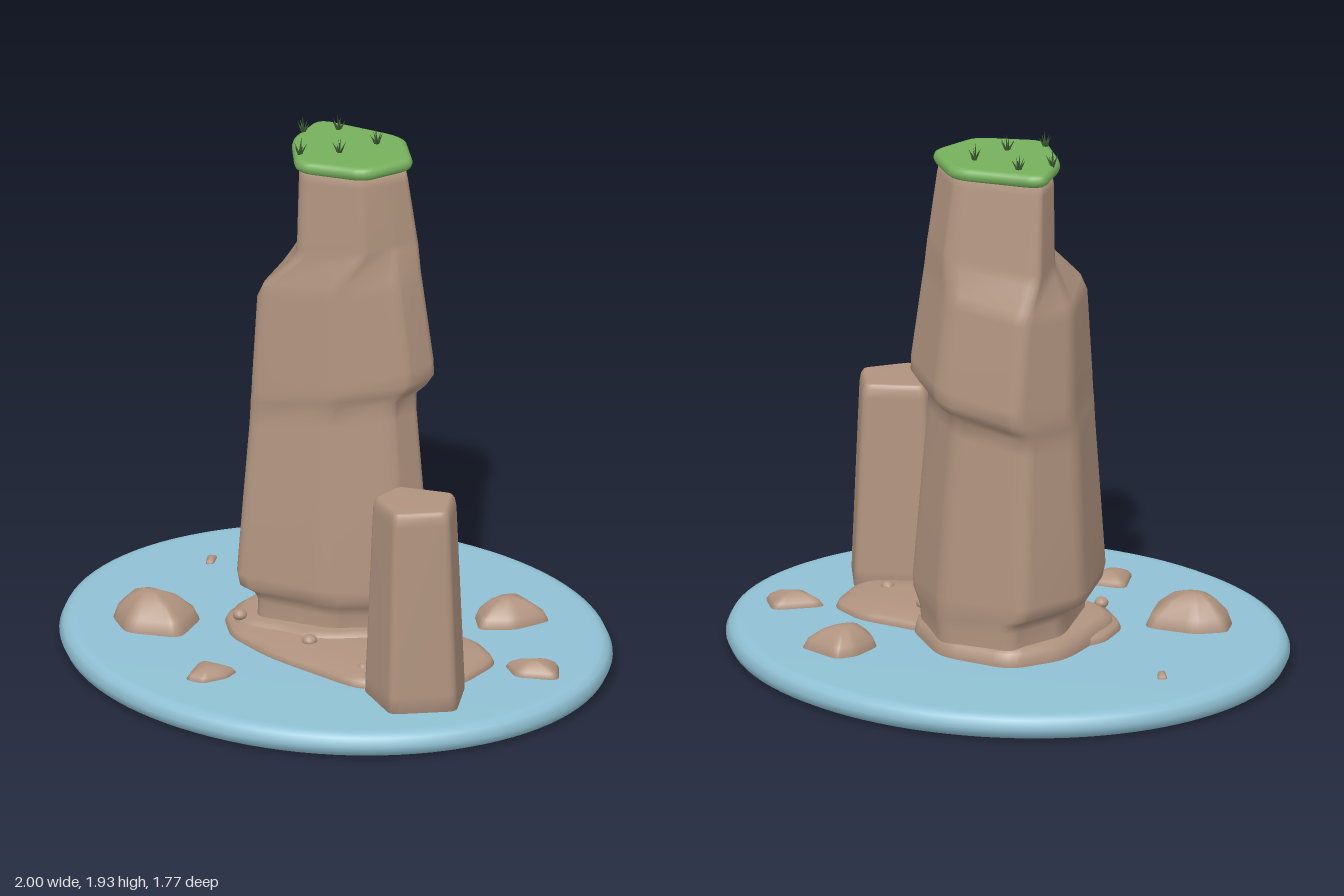
import * as THREE from 'three';
import { mergeGeometries } from 'three/addons/utils/BufferGeometryUtils.js';

const flat = (name, color) => {
  const m = new THREE.MeshStandardMaterial({ color });
  m.name = name;
  return m;
};

// Replace every corner of an outline by a short curve
function roundOutline(points, cut = 0.2, steps = 4) {
  const out = [];
  points.forEach(([x, z], i) => {
    const p = points[(i + points.length - 1) % points.length];
    const n = points[(i + 1) % points.length];
    for (let k = 0; k <= steps; k++) {
      const t = k / steps, a = (1 - t) * (1 - t) * cut, b = t * t * cut;
      out.push([x + (p[0] - x) * a + (n[0] - x) * b, z + (p[1] - z) * a + (n[1] - z) * b]);
    }
  });
  return out;
}

// Skin a stack of rings (bottom to top) and close both ends
function loft(rings) {
  const n = rings[0].length, pos = [], index = [];
  rings.forEach(r => r.forEach(p => pos.push(...p)));
  for (let i = 0; i < rings.length - 1; i++) {
    for (let j = 0; j < n; j++) {
      const a = i * n + j, b = i * n + (j + 1) % n;
      index.push(a, a + n, b, b, a + n, b + n);
    }
  }
  [0, rings.length - 1].forEach((ri, end) => {
    const c = pos.length / 3;
    for (let k = 0; k < 3; k++) pos.push(rings[ri].reduce((s, p) => s + p[k], 0) / n);
    for (let j = 0; j < n; j++) {
      const a = ri * n + j, b = ri * n + (j + 1) % n;
      if (end) index.push(c, b, a);
      else index.push(c, a, b);
    }
  });
  const g = new THREE.BufferGeometry();
  g.setAttribute('position', new THREE.Float32BufferAttribute(pos, 3));
  g.setIndex(index);
  g.computeVertexNormals();
  return g;
}

// Outline repeated at [height, scale] levels about its centre
function stack(outline, levels, cut) {
  const pts = roundOutline(outline, cut);
  const cx = pts.reduce((s, p) => s + p[0], 0) / pts.length;
  const cz = pts.reduce((s, p) => s + p[1], 0) / pts.length;
  return loft(levels.map(([y, s]) => pts.map(([x, z]) => [cx + (x - cx) * s, y, cz + (z - cz) * s])));
}

export function createModel() {
  const group = new THREE.Group();
  const rock = flat('rock', 0xb0937f);
  const water = flat('water', 0x90c1d4);
  const grass = flat('grass', 0x76b05c);
  const blade = flat('grassBlade', 0x39592f);
  const add = (name, geometry, material) => {
    const m = new THREE.Mesh(geometry, material);
    m.name = name;
    group.add(m);
    return m;
  };

  // Oval water slab with a rounded rim
  const rim = [[0, 0], [0.93, 0], [0.96, 0.002], [0.985, 0.014], [1, 0.045],
    [0.985, 0.076], [0.96, 0.088], [0.93, 0.09], [0, 0.09]].map(p => new THREE.Vector2(...p));
  add('water', new THREE.LatheGeometry(rim, 96), water).scale.z = 0.885;

  // Tower: a lower and an upper outline in -1..1, blended and fitted to bounds
  const lower = roundOutline([[-0.65, -0.97], [0.34, -1], [1, -0.33], [0.95, 0.15], [0.3, 0.73], [-0.72, 1], [-1, -0.2]], 0.16);
  const upper = roundOutline([[-1, -0.74], [0.39, -1], [1, -0.31], [0.87, 0.13], [0.65, 0.6], [-0.29, 1], [-0.92, 0]], 0.16);
  const towerRings = [ // y, tilt, left, right, front, back, blend
    [0.02, 0, -0.3, 0.27, 0.21, -0.36, 0],
    [0.12, 0, -0.285, 0.255, 0.2, -0.355, 0],
    [0.2, -0.01, -0.285, 0.262, 0.195, -0.355, 0],
    [0.23, -0.01, -0.3, 0.275, 0.205, -0.357, 0],
    [0.255, -0.01, -0.35, 0.292, 0.235, -0.36, 0],
    [0.3, -0.01, -0.36, 0.296, 0.24, -0.362, 0],
    [0.6, 0, -0.347, 0.268, 0.21, -0.345, 0],
    [0.88, 0.04, -0.337, 0.238, 0.18, -0.326, 0],
    [0.94, 0.05, -0.336, 0.236, 0.176, -0.326, 0],
    [0.975, 0.05, -0.336, 0.27, 0.182, -0.355, 0],
    [1.01, 0.05, -0.335, 0.29, 0.183, -0.374, 0],
    [1.06, 0.05, -0.334, 0.288, 0.18, -0.374, 0],
    [1.36, 0.04, -0.325, 0.252, 0.167, -0.343, 0.1],
    [1.41, 0.04, -0.316, 0.245, 0.16, -0.337, 0.25],
    [1.5, 0.04, -0.265, 0.234, 0.12, -0.32, 0.85],
    [1.54, 0.03, -0.258, 0.23, 0.114, -0.314, 1],
    [1.79, 0, -0.246, 0.206, 0.1, -0.275, 1],
    [1.83, 0, -0.238, 0.198, 0.092, -0.266, 1],
  ];
  add('rockTower', loft(towerRings.map(([y, tilt, l, r, f, b, k]) => lower.map(([u0, v0], i) => {
    const u = u0 + (upper[i][0] - u0) * k, v = v0 + (upper[i][1] - v0) * k;
    return [(l + r) / 2 + u * (r - l) / 2, y + tilt * u, (f + b) / 2 + v * (f - b) / 2];
  }))), rock);

  // Grass lid on the tower
  add('grassTop', stack([[-0.26, -0.235], [0.07, -0.295], [0.215, -0.155], [0.145, 0.025], [-0.09, 0.11], [-0.23, -0.05]],
    [[1.822, 0.95], [1.83, 1], [1.845, 1.025], [1.86, 1], [1.867, 0.95], [1.868, 0.9]], 0.2), grass);

  // Tufts of splayed blades
  [[-0.145, -0.2], [0.035, -0.185], [-0.23, -0.11], [-0.02, -0.045], [-0.12, 0.05]].forEach(([x, z], t) => {
    const blades = [];
    for (let i = 0; i < 6; i++) {
      const g = new THREE.ConeGeometry(0.006, i ? 0.052 : 0.07, 4).translate(0, i ? 0.026 : 0.035, 0);
      blades.push(g.rotateZ(i ? 0.4 + 0.12 * (i % 2) : 0.08).rotateY(i * 1.257 + t));
    }
    add('grassTuft', mergeGeometries(blades), blade).position.set(x, 1.86, z);
  });

  // Small pentagonal pillar
  add('smallPillar', stack([[0.41, 0.2], [0.655, 0.105], [0.77, 0.305], [0.605, 0.47], [0.4, 0.36]],
    [[0.02, 1], [0.15, 0.98], [0.78, 0.83], [0.81, 0.8], [0.825, 0.75], [0.828, 0.7]], 0.12), rock);

  // Low shelf of rock around the foot of the tower
  add('shelf', stack([[-0.37, 0], [-0.2, -0.2], [0.28, -0.18], [0.49, -0.175], [0.63, -0.1], [0.645, 0.12],
    [0.45, 0.21], [0.4, 0.37], [-0.02, 0.345], [-0.24, 0.285], [-0.36, 0.17]],
  [[0.02, 1], [0.092, 1], [0.112, 0.98], [0.122, 0.92], [0.135, 0.6]], 0.25), rock);
  add('towerFoot', stack([[-0.33, -0.2], [-0.2, -0.375], [0.08, -0.37], [0.29, -0.17], [0.26, 0.03], [0.08, 0.2], [-0.25, 0.25], [-0.345, 0.15]],
    [[0.02, 1.02], [0.1, 1], [0.135, 0.97], [0.15, 0.88]], 0.25), rock);

  // Loose rocks standing in the water
  const rocks = [
    [0.2, [[-0.7, 0.3], [-0.61, 0.23], [-0.42, 0.21], [-0.37, 0.4], [-0.55, 0.48], [-0.67, 0.4]]],
    [0.17, [[0.38, -0.56], [0.55, -0.51], [0.5, -0.37], [0.4, -0.29], [0.31, -0.38], [0.33, -0.5]]],
    [0.135, [[0.65, -0.11], [0.8, -0.23], [0.885, -0.12], [0.75, -0.05]]],
    [0.125, [[-0.19, 0.52], [-0.04, 0.5], [-0.03, 0.57], [-0.07, 0.66], [-0.14, 0.67]]],
    [0.105, [[-0.73, -0.21], [-0.7, -0.23], [-0.67, -0.17], [-0.69, -0.15]]],
  ];
  rocks.forEach(([h, outline]) => {
    const d = h - 0.09;
    add('looseRock', stack(outline, [[0.02, 1], [0.09, 1], [0.09 + d * 0.4, 0.88], [0.09 + d * 0.8, 0.55], [h, 0.2]], 0.22), rock);
  });

  // Pebbles on the shelf
  [[0.3, 0.145, -0.055, 0.026], [0.51, 0.128, 0.08, 0.024], [0.06, 0.138, 0.225, 0.027],
    [0.33, 0.125, 0.27, 0.018], [-0.25, 0.15, 0.22, 0.025]].forEach(([x, y, z, r]) => {
    const p = add('pebble', new THREE.SphereGeometry(r, 12, 8), rock);
    p.position.set(x, y, z);
    p.scale.y = 0.8;
  });

  return group;
}
